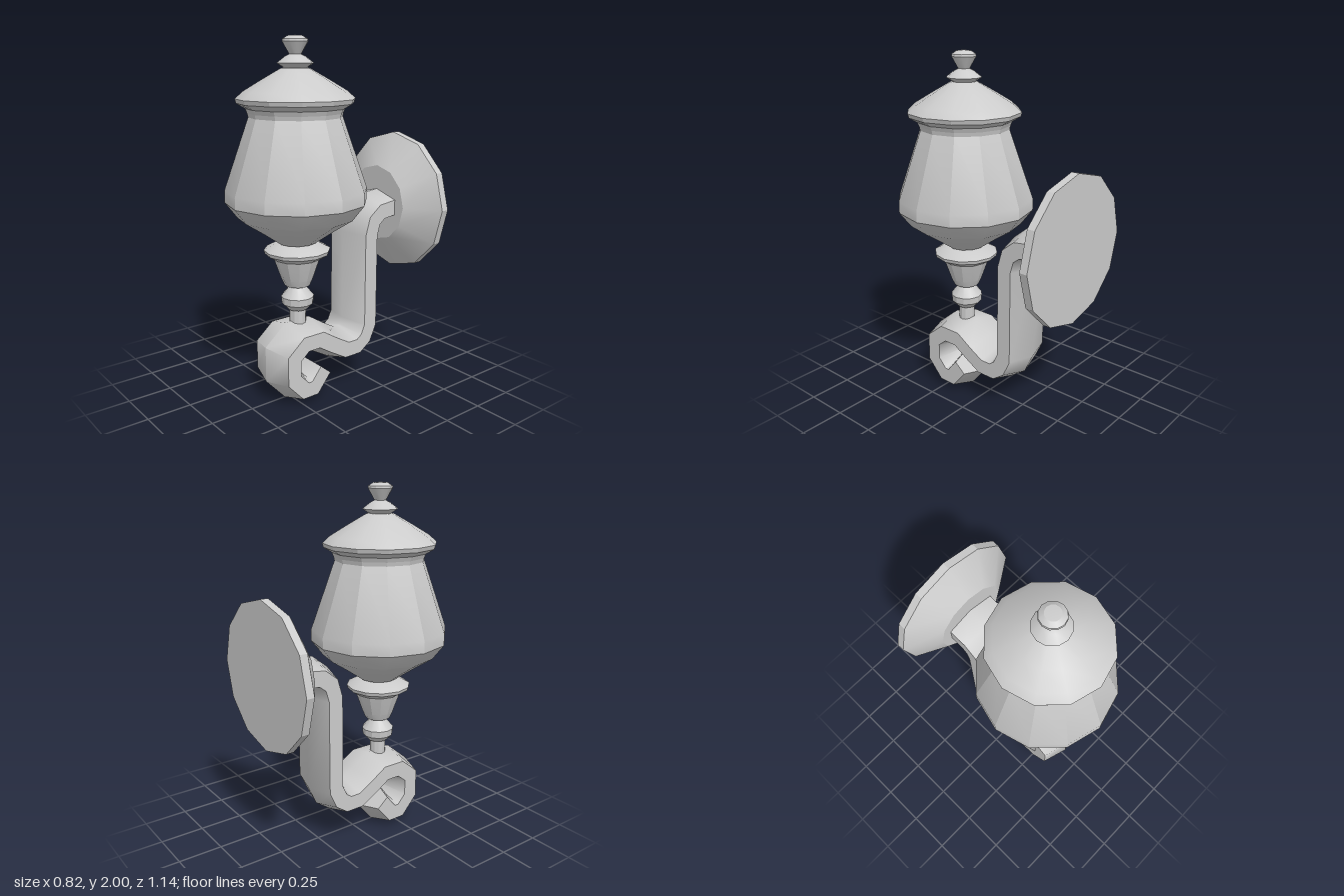
import * as THREE from 'three';
import { toCreasedNormals } from 'three/addons/utils/BufferGeometryUtils.js';

const SIDES = 12;
const LAMP_Z = 0.185;
const material = new THREE.MeshStandardMaterial({ color: 0xcccccc });

function addMesh(parent, name, geometry, crease) {
  const mesh = new THREE.Mesh(toCreasedNormals(geometry, crease), material);
  mesh.name = name;
  parent.add(mesh);
  return mesh;
}

// Twelve-sided turned part; profile is [radius, height] from bottom to top
function turned(parent, name, profile) {
  const points = profile.map(([r, y]) => new THREE.Vector2(r, y));
  return addMesh(parent, name, new THREE.LatheGeometry(points, SIDES), 0.48);
}

// Sweep a stretched hexagon along a [z, y] path with mitred bends
function sweepHexagon(path, halfWidth, halfThickness) {
  const pts = path.map(([z, y]) => new THREE.Vector3(0, y, z));
  const positions = [], index = [];
  const last = pts.length - 1;
  pts.forEach((p, i) => {
    const before = p.clone().sub(pts[Math.max(i - 1, 0)]).normalize();
    const after = pts[Math.min(i + 1, last)].clone().sub(p).normalize();
    const t = before.clone().add(after).normalize();
    const miter = 1 / t.dot(i < last ? after : before);
    for (let k = 0; k < 6; k++) {
      const a = k * Math.PI / 3;
      const d = halfThickness * Math.cos(a) * miter;
      positions.push(halfWidth * Math.sin(a), p.y - t.z * d, p.z + t.y * d);
      if (i < last) {
        const n = (k + 1) % 6, lo = i * 6, hi = lo + 6;
        index.push(lo + k, lo + n, hi + n, lo + k, hi + n, hi + k);
      }
    }
  });
  // End caps
  const end = last * 6;
  for (let k = 1; k < 5; k++) {
    index.push(0, k + 1, k, end, end + k, end + k + 1);
  }
  const geometry = new THREE.BufferGeometry();
  geometry.setAttribute('position', new THREE.Float32BufferAttribute(positions, 3));
  geometry.setIndex(index);
  return geometry;
}

export function createModel() {
  const model = new THREE.Group();
  model.name = 'wallLamp';

  // Lamp: everything turned around the vertical axis
  const lamp = new THREE.Group();
  lamp.name = 'lamp';
  lamp.position.z = LAMP_Z;
  model.add(lamp);

  turned(lamp, 'stem', [[0, 0.4], [0.046, 0.4], [0.046, 0.53], [0, 0.53]]);
  turned(lamp, 'baluster', [
    [0, 0.52], [0.055, 0.52], [0.088, 0.555], [0.092, 0.595], [0.038, 0.66], [0, 0.67],
  ]);
  turned(lamp, 'cup', [
    [0, 0.66], [0.072, 0.66], [0.09, 0.7], [0.13, 0.815], [0.178, 0.845],
    [0.184, 0.865], [0.12, 0.9], [0, 0.905],
  ]);
  turned(lamp, 'globe', [
    [0, 0.9], [0.105, 0.905], [0.22, 0.985], [0.32, 1.05], [0.385, 1.135],
    [0.385, 1.2], [0.25, 1.585], [0.26, 1.63], [0, 1.64],
  ]);
  turned(lamp, 'roof', [
    [0, 1.6], [0.252, 1.6], [0.265, 1.63], [0.31, 1.657], [0.317, 1.68],
    [0.275, 1.718], [0.18, 1.775], [0.075, 1.835], [0, 1.845],
  ]);
  turned(lamp, 'collar', [
    [0, 1.83], [0.06, 1.835], [0.098, 1.86], [0.055, 1.893], [0.03, 1.905], [0, 1.905],
  ]);
  turned(lamp, 'finial', [
    [0, 1.9], [0.032, 1.905], [0.068, 1.968], [0.066, 1.98], [0.04, 1.997], [0, 2],
  ]);

  // Curved arm running from the wall plate down to the hook
  addMesh(model, 'arm', sweepHexagon([
    [-0.42, 1.045], [-0.307, 1.03], [-0.25, 0.985], [-0.225, 0.9],
    [-0.225, 0.366], [-0.19, 0.29], [-0.138, 0.253], [-0.053, 0.253],
    [0.042, 0.307], [0.132, 0.364], [0.238, 0.364], [0.318, 0.297],
    [0.318, 0.17], [0.244, 0.09], [0.18, 0.09], [0.106, 0.18],
  ], 0.179, 0.087), 0.9);

  // Wall plate, turned to face forward
  const plate = turned(model, 'wallPlate', [
    [0, -0.57], [0.408, -0.57], [0.408, -0.525], [0.222, -0.4], [0, -0.4],
  ]);
  plate.rotation.x = Math.PI / 2;
  plate.position.y = 1.048;

  return model;
}
